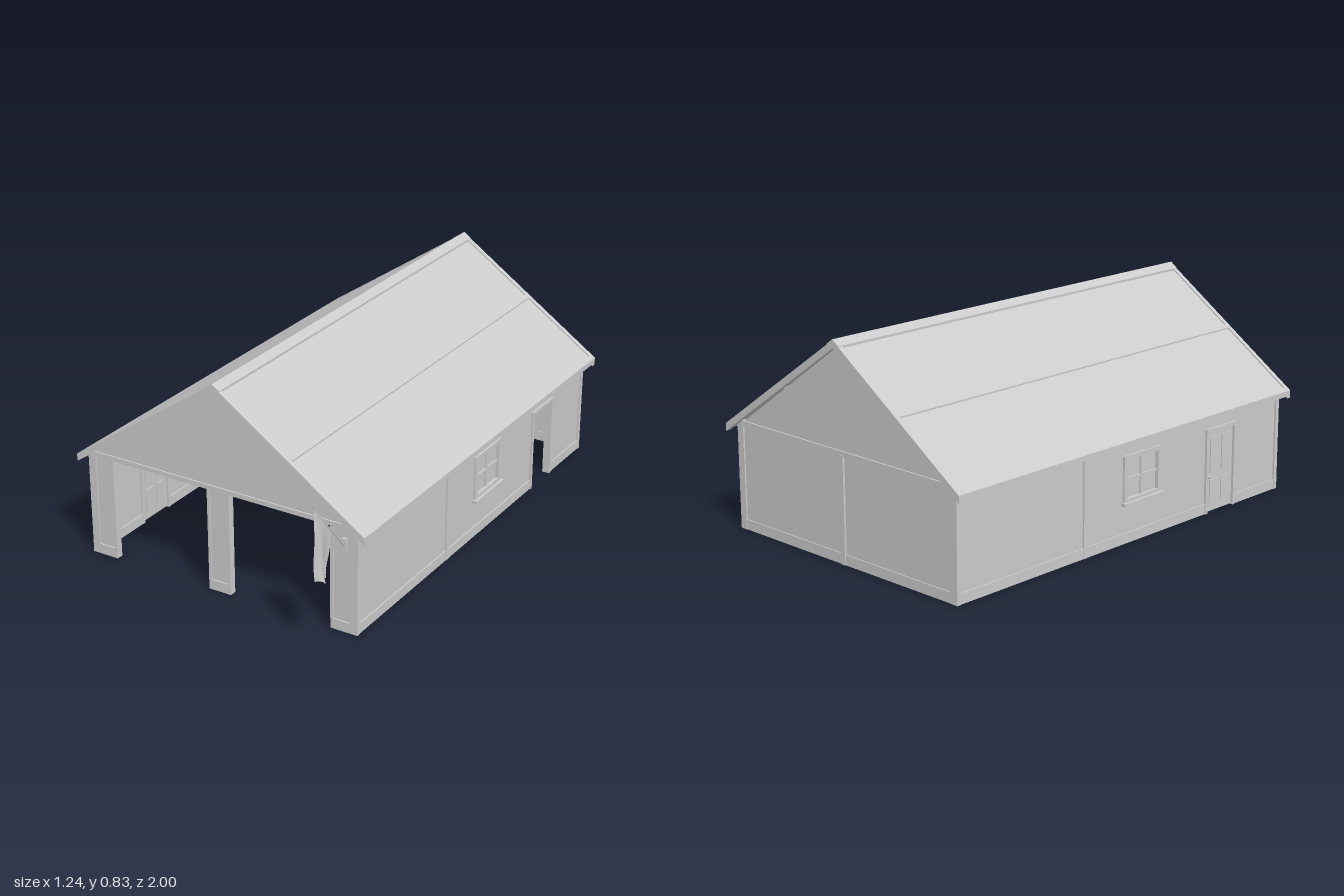
import * as THREE from 'three';

const mat = new THREE.MeshStandardMaterial({ color: 0xcccccc, flatShading: true });
const cloth = new THREE.MeshStandardMaterial({ color: 0xcccccc, side: THREE.DoubleSide });
const FRONT = 0.8, BACK = -0.975, MID = (FRONT + BACK) / 2, HALF = (FRONT - BACK) / 2;
const WALL_H = 0.41;

function add(parent, name, geometry, material = mat) {
  const mesh = new THREE.Mesh(geometry, material);
  mesh.name = name;
  parent.add(mesh);
  return mesh;
}

// box given by its extents
function box(parent, name, x0, x1, y0, y1, z0, z1) {
  const m = add(parent, name, new THREE.BoxGeometry(x1 - x0, y1 - y0, z1 - z0));
  m.position.set((x0 + x1) / 2, (y0 + y1) / 2, (z0 + z1) / 2);
  return m;
}

function extrude(points, depth, holes = []) {
  const shape = new THREE.Shape(points.map(p => new THREE.Vector2(...p)));
  for (const h of holes) shape.holes.push(new THREE.Path(h.map(p => new THREE.Vector2(...p))));
  return new THREE.ExtrudeGeometry(shape, { depth, bevelEnabled: false });
}

// long wall on the +x side, z measured from the wall's middle
function sideWall(name, closedDoor) {
  const g = new THREE.Group();
  g.name = name;
  const d0 = -0.605, d1 = -0.45, doorH = 0.325;
  const w0 = -0.165, w1 = 0.03, s0 = 0.16, s1 = 0.33;
  // panel drawn in (-z, y), then turned to face +x
  const panel = extrude(
    [[-HALF, 0], [-d1, 0], [-d1, doorH], [-d0, doorH], [-d0, 0], [HALF, 0], [HALF, WALL_H], [-HALF, WALL_H]],
    0.015, [[[-w1, s0], [-w1, s1], [-w0, s1], [-w0, s0]]]);
  panel.rotateY(Math.PI / 2);
  add(g, 'sidePanel', panel).position.x = 0.56;

  // corner posts, middle post and plates
  for (const [a, b] of [[-HALF, -HALF + 0.018], [0.232, 0.252], [HALF - 0.018, HALF]])
    box(g, 'wallPost', 0.55, 0.582, 0, WALL_H, a, b);
  box(g, 'topPlate', 0.55, 0.581, WALL_H - 0.02, WALL_H, -HALF, HALF);
  for (const [a, b] of [[-HALF, d0], [d1, HALF]])
    box(g, 'baseboard', 0.555, 0.58, 0, 0.04, a, b);

  // door frame
  for (const [a, b] of [[d0 - 0.012, d0], [d1, d1 + 0.012]])
    box(g, 'doorJamb', 0.553, 0.584, 0, doorH + 0.012, a, b);
  box(g, 'doorHead', 0.553, 0.584, doorH, doorH + 0.012, d0, d1);
  if (closedDoor) {
    box(g, 'doorLeaf', 0.562, 0.574, 0.003, doorH, d0, d1);
    const c = (d0 + d1) / 2;
    for (const zc of [c - 0.034, c + 0.034])
      for (const [a, b] of [[0.03, 0.13], [0.16, 0.3]])
        box(g, 'doorPanel', 0.558, 0.578, a, b, zc - 0.024, zc + 0.024);
    for (const x of [0.556, 0.58]) {
      const knob = add(g, 'doorKnob', new THREE.SphereGeometry(0.006, 10, 8));
      knob.position.set(x, 0.145, d1 - 0.009);
    }
  }

  // window with four panes and a sill
  const wc = (w0 + w1) / 2, sc = (s0 + s1) / 2;
  box(g, 'windowGlass', 0.566, 0.569, s0, s1, w0, w1);
  for (const [a, b] of [[w0 - 0.006, w0 + 0.012], [w1 - 0.012, w1 + 0.006]])
    box(g, 'windowStile', 0.555, 0.583, s0, s1, a, b);
  for (const [a, b] of [[s0, s0 + 0.012], [s1 - 0.01, s1 + 0.008]])
    box(g, 'windowRail', 0.555, 0.583, a, b, w0 - 0.006, w1 + 0.006);
  box(g, 'windowMuntin', 0.56, 0.576, s0, s1, wc - 0.005, wc + 0.005);
  box(g, 'windowMuntin', 0.56, 0.576, sc - 0.005, sc + 0.005, w0, w1);
  box(g, 'windowSill', 0.552, 0.595, 0.148, s0, w0 - 0.014, w1 + 0.014);
  g.position.z = MID;
  return g;
}

function endWalls() {
  const g = new THREE.Group();
  g.name = 'endWalls';
  // front pillars with edge trim
  for (const [a, b] of [[-0.575, -0.47], [-0.05, 0.045], [0.47, 0.575]]) {
    box(g, 'frontPillar', a, b, 0, WALL_H, FRONT - 0.022, FRONT - 0.006);
    box(g, 'pillarBase', a, b, 0, 0.04, FRONT - 0.027, FRONT);
    for (const [c, d] of [[a, a + 0.011], [b - 0.011, b]])
      box(g, 'pillarTrim', c, d, 0, WALL_H, FRONT - 0.028, FRONT);
  }
  // closed back wall
  box(g, 'backPanel', -0.57, 0.57, 0, WALL_H, BACK + 0.006, BACK + 0.02);
  box(g, 'backBaseboard', -0.57, 0.57, 0, 0.04, BACK + 0.002, BACK + 0.025);
  box(g, 'backPost', -0.011, 0.011, 0, WALL_H, BACK - 0.002, BACK + 0.03);
  // gables and their beams
  for (const [z, n] of [[FRONT - 0.022, 'frontGable'], [BACK + 0.006, 'backGable']]) {
    add(g, n, extrude([[-0.575, 0.405], [0.575, 0.405], [0, 0.808]], 0.016)).position.z = z;
    box(g, n + 'Beam', -0.58, 0.58, WALL_H - 0.003, 0.425, z - 0.006, z + 0.022);
  }
  // tie beams between the side posts
  for (const z of [0.155, -0.33])
    box(g, 'tieBeam', -0.56, 0.56, 0.385, 0.42, z - 0.017, z + 0.017);
  return g;
}

function roof() {
  const g = new THREE.Group();
  g.name = 'roof';
  const y = x => 0.826 - 0.684 * x;
  // mirrored strip that follows both slopes
  const band = (name, x0, x1, lo, hi, z0, z1) => {
    for (const s of [-1, 1]) {
      const pts = [[x0, lo], [x1, lo], [x1, hi], [x0, hi]].map(([x, o]) => [s * x, y(x) + o]);
      add(g, name, extrude(pts, z1 - z0)).position.z = z0;
    }
  };
  band('roofSlope', 0, 0.615, -0.016, 0, -0.995, 0.815);
  band('ridgeCap', 0, 0.03, -0.018, 0.009, -1, 0.82);
  band('roofSeam', 0.303, 0.317, -0.024, 0.006, -0.99, 0.81);
  band('eaveTrim', 0.603, 0.62, -0.016, 0.006, -1, 0.82);
  band('bargeBoard', 0, 0.62, -0.024, 0.006, 0.802, 0.82);
  band('bargeBoard', 0, 0.62, -0.024, 0.006, -1, -0.98);
  return g;
}

function flag() {
  const g = new THREE.Group();
  g.name = 'flag';
  const low = new THREE.Vector3(0.53, 0.345, 0.8), top = new THREE.Vector3(0.526, 0.575, 0.997);
  const pole = add(g, 'flagPole', new THREE.TubeGeometry(new THREE.LineCurve3(low, top), 1, 0.003, 8));
  pole.material = cloth;
  box(g, 'poleBracket', 0.521, 0.539, 0.33, 0.375, 0.796, 0.806);
  // cloth hangs from the pole and folds more towards its lower edge
  const geo = new THREE.PlaneGeometry(1, 1, 10, 14);
  const p = geo.attributes.position;
  for (let i = 0; i < p.count; i++) {
    const u = p.getX(i) + 0.5, v = 0.5 - p.getY(i);
    const z = 0.885 + 0.112 * u + v * (0.005 - 0.013 * u);
    const yTop = 0.445 + 0.13 * u, yLow = 0.255 + 0.035 * u + 0.008 * Math.sin(u * 9);
    const x = 0.528 + v * (0.025 * Math.sin(u * 5.5 + 3.9) + 0.006 * Math.sin(v * 6));
    p.setXYZ(i, x, yTop + (yLow - yTop) * v, z);
  }
  geo.computeVertexNormals();
  add(g, 'flagCloth', geo, cloth);
  return g;
}

export function createModel() {
  const model = new THREE.Group();
  model.name = 'garage';
  const left = sideWall('leftWall', false), right = sideWall('rightWall', true);
  right.rotation.y = Math.PI;
  model.add(left, right, endWalls(), roof(), flag());
  return model;
}
